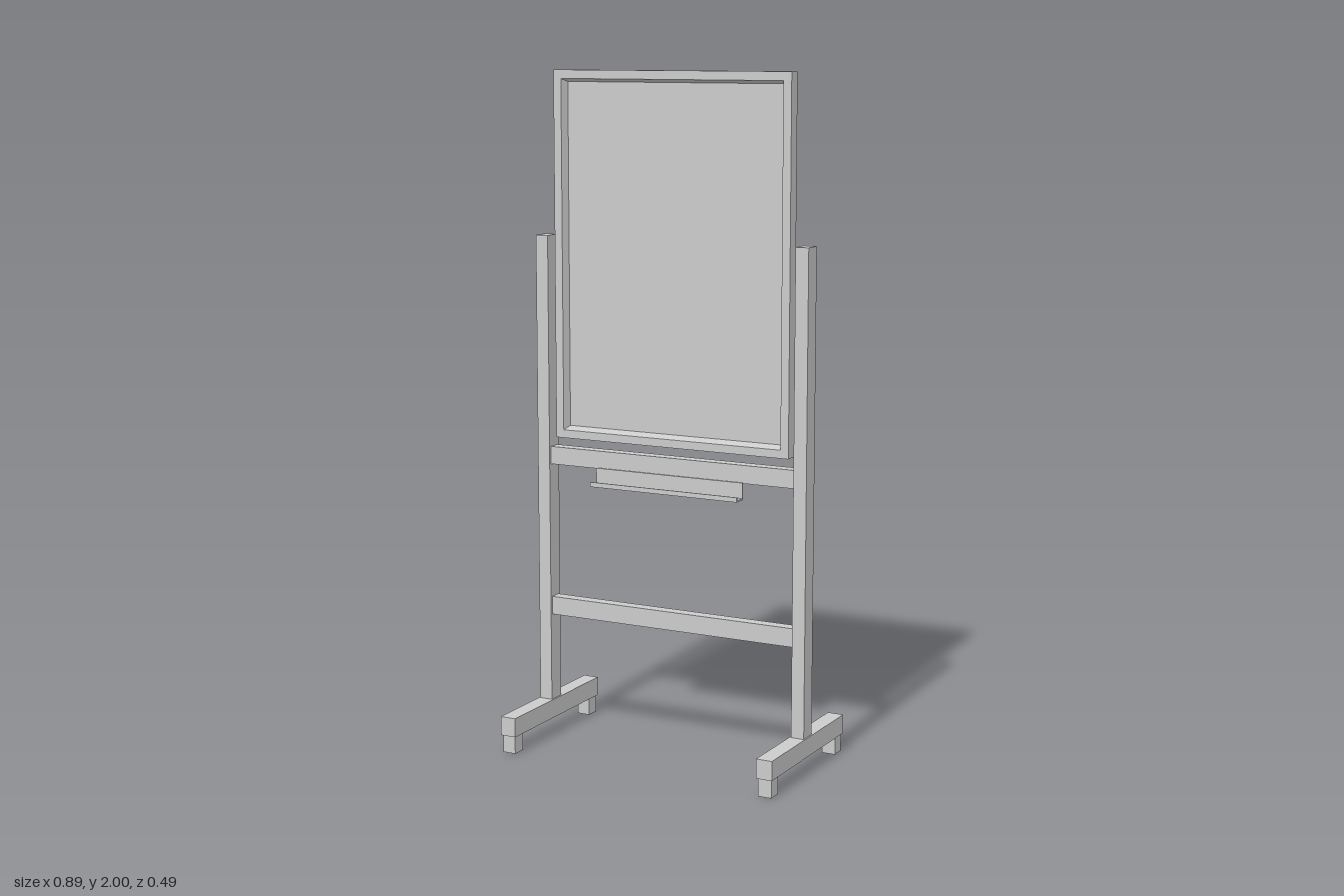
import * as THREE from 'three';

const material = new THREE.MeshStandardMaterial({ color: 0xcccccc, flatShading: true });

// Box given by its minimum and maximum on each axis
function box(name, [x0, x1], [y0, y1], [z0, z1]) {
  const mesh = new THREE.Mesh(new THREE.BoxGeometry(x1 - x0, y1 - y0, z1 - z0), material);
  mesh.position.set((x0 + x1) / 2, (y0 + y1) / 2, (z0 + z1) / 2);
  mesh.name = name;
  return mesh;
}

// Skin over a run of upright rectangles, closed at both ends
function rectangleLoft(rings) {
  const corners = rings.map(({ w, y0, y1, z }) => [[-w, y0, z], [w, y0, z], [w, y1, z], [-w, y1, z]]);
  const points = [];
  const quad = (a, b, c, d) => points.push(...a, ...b, ...c, ...a, ...c, ...d);
  for (let i = 0; i < corners.length - 1; i++) {
    for (let j = 0; j < 4; j++) {
      const k = (j + 1) % 4;
      quad(corners[i][j], corners[i][k], corners[i + 1][k], corners[i + 1][j]);
    }
  }
  const first = corners[0], last = corners[corners.length - 1];
  quad(first[3], first[2], first[1], first[0]);
  quad(last[0], last[1], last[2], last[3]);
  const geometry = new THREE.BufferGeometry();
  geometry.setAttribute('position', new THREE.Float32BufferAttribute(points, 3));
  geometry.computeVertexNormals();
  return geometry;
}

export function createModel() {
  const model = new THREE.Group();
  model.name = 'rollingBoard';

  // Board: flat back, raised border and a recessed face with sloping inner walls
  const board = new THREE.Mesh(rectangleLoft([
    { w: 0.38, y0: 0.92, y1: 2, z: -0.02 },
    { w: 0.38, y0: 0.92, y1: 2, z: 0.018 },
    { w: 0.355, y0: 0.944, y1: 1.975, z: 0.018 },
    { w: 0.347, y0: 0.954, y1: 1.966, z: -0.008 },
  ]), material);
  board.name = 'board';
  model.add(board);

  // Cross rails between the posts
  model.add(box('upperRail', [-0.402, 0.402], [0.837, 0.89], [-0.02, 0.018]));
  model.add(box('lowerRail', [-0.402, 0.402], [0.375, 0.43], [-0.02, 0.018]));

  // Pen tray: back plate, floor and front lip
  const tray = new THREE.Group();
  tray.name = 'tray';
  tray.add(box('trayBack', [-0.24, 0.24], [0.79, 0.84], [0.021, 0.026]));
  tray.add(box('trayFloor', [-0.24, 0.24], [0.79, 0.795], [0.026, 0.058]));
  tray.add(box('trayLip', [-0.24, 0.24], [0.79, 0.804], [0.058, 0.062]));
  model.add(tray);

  // Post, foot and casters on each side
  for (const side of [1, -1]) {
    const stand = new THREE.Group();
    stand.name = side > 0 ? 'leftStand' : 'rightStand';
    const span = (a, b) => (side > 0 ? [a, b] : [-b, -a]);
    stand.add(box('post', span(0.4, 0.44), [0.11, 1.52], [-0.028, 0.026]));
    stand.add(box('foot', span(0.395, 0.444), [0.053, 0.11], [-0.246, 0.246]));
    stand.add(box('frontCaster', span(0.399, 0.44), [0, 0.053], [0.197, 0.24]));
    stand.add(box('backCaster', span(0.399, 0.44), [0, 0.053], [-0.24, -0.197]));
    model.add(stand);
  }
  return model;
}
